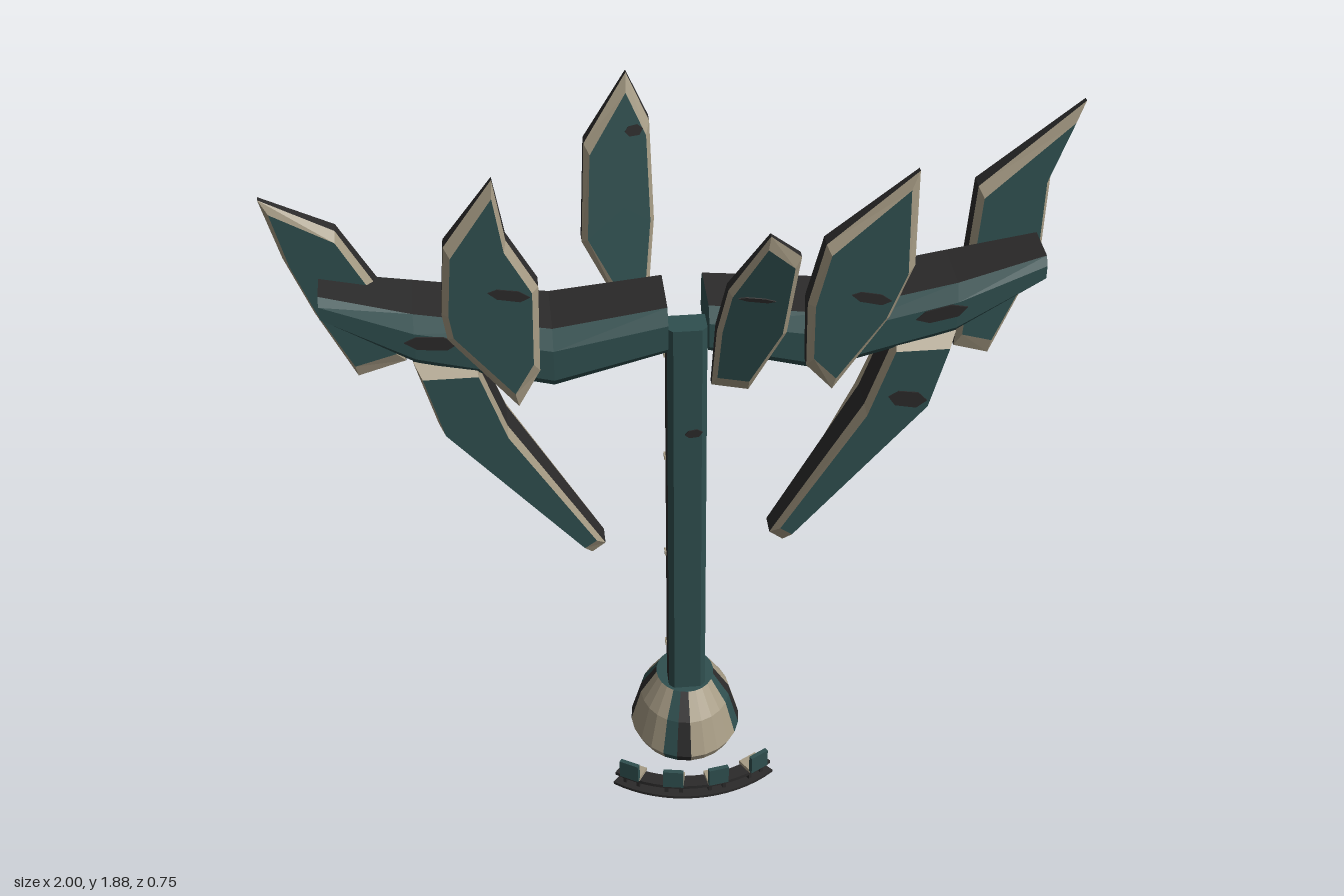
import * as THREE from 'three';

const mat = (name, color) => Object.assign(new THREE.MeshStandardMaterial({ color }), { name });
const teal = mat('dark teal', 0x2f4f4f);
const beige = mat('beige', 0xa69b84);
const dark = mat('charcoal', 0x2b2a2a);
const violet = mat('violet', 0x5a5ac8);
const V = (x, y, z) => new THREE.Vector3(x, y, z);

// Skin a stack of closed rings (counter-clockwise seen from the first ring's end), with flat facets
function loft(name, rings, sideMat, capMats) {
  const buckets = new Map();
  const add = (m, ...pts) => {
    if (!buckets.has(m)) buckets.set(m, []);
    pts.forEach((p) => buckets.get(m).push(p.x, p.y, p.z));
  };
  const n = rings[0].length;
  for (let i = 0; i < rings.length - 1; i++) {
    for (let j = 0; j < n; j++) {
      const k = (j + 1) % n, a = rings[i], b = rings[i + 1], m = sideMat(i, j);
      add(m, a[j], b[j], b[k]);
      add(m, a[j], b[k], a[k]);
    }
  }
  [rings[0], rings[rings.length - 1]].forEach((r, end) => {
    const c = r.reduce((s, p) => s.add(p), V(0, 0, 0)).divideScalar(n);
    for (let j = 0; j < n; j++) {
      const k = (j + 1) % n;
      if (end) add(capMats[1], c, r[k], r[j]);
      else add(capMats[0], c, r[j], r[k]);
    }
  });
  const geo = new THREE.BufferGeometry(), pos = [], mats = [...buckets.keys()];
  mats.forEach((m, i) => {
    const list = buckets.get(m);
    geo.addGroup(pos.length / 3, list.length / 3, i);
    for (const v of list) pos.push(v);
  });
  geo.setAttribute('position', new THREE.Float32BufferAttribute(pos, 3));
  geo.computeVertexNormals();
  const mesh = new THREE.Mesh(geo, mats);
  mesh.name = name;
  return mesh;
}

function box(name, m, w, h, d, x, y, z) {
  const mesh = new THREE.Mesh(new THREE.BoxGeometry(w, h, d), m);
  mesh.name = name;
  mesh.position.set(x, y, z);
  return mesh;
}

// Thin worn patch with ragged pointed ends
function patch(w, h, x, y, z, roll = 0, tilt = 0) {
  const s = new THREE.Shape([[-0.5, -0.1], [-0.25, -0.5], [0.3, -0.4], [0.5, 0.15], [0.2, 0.5], [-0.3, 0.35]]
    .map(([a, b]) => new THREE.Vector2(a * w, b * h)));
  const mesh = new THREE.Mesh(new THREE.ExtrudeGeometry(s, { depth: 0.004, bevelEnabled: false }), dark);
  mesh.name = 'wornPatch';
  mesh.position.set(x, y, z);
  mesh.rotation.set(tilt, 0, roll);
  return mesh;
}

// Armoured fin: teal front, beige bevel, charcoal rim, domed beige back
function fin(name, outline, o) {
  const area = outline.reduce((s, p, i) => {
    const q = outline[(i + 1) % outline.length];
    return s + p[0] * q[1] - q[0] * p[1];
  }, 0);
  const pts = area < 0 ? [...outline].reverse() : outline;
  const ys = pts.map((p) => p[1]), top = Math.max(...ys), bot = Math.min(...ys);
  const cx = pts.reduce((s, p) => s + p[0], 0) / pts.length;
  const cy = pts.reduce((s, p) => s + p[1], 0) / pts.length;
  const mid = (top + bot) / 2, [tTop, tMid, tBot] = o.thick;
  const front = (y) => o.z + o.slope * (y - mid) + tMid * 0.45;
  const thick = (y) => {
    const u = (y - mid) / (top - mid);
    return u > 0 ? tMid + (tTop - tMid) * u * u : tMid + (tBot - tMid) * u * u;
  };
  const ring = (inset, depth) => pts.map(([x, y]) => {
    const px = cx + (x - cx) * inset, py = cy + (y - cy) * inset;
    return V(px, py, front(py) - depth * thick(y));
  });
  const g = new THREE.Group();
  g.name = name;
  const skins = [beige, dark, beige];
  g.add(loft(name + 'Shell', [ring(o.inset ?? 0.86, 0), ring(1, 0.25), ring(1, 0.72), ring(0.55, 1)],
    (i) => skins[i], [teal, beige]));
  for (const [x, y, w, h, r] of o.patches ?? []) {
    g.add(patch(w, h, x, y, front(y) - 0.001, r, Math.atan(o.slope)));
  }
  return g;
}

// Crossbeam half: stations are [x, bottom, top, half depth]
function arm(side) {
  const stations = [[0.88, 1.46, 1.53, 0.07], [0.66, 1.335, 1.48, 0.098], [0.33, 1.25, 1.42, 0.108], [0.05, 1.32, 1.455, 0.095]];
  const rings = stations.map(([x, b, t, d]) => {
    const h = t - b, u = t - 0.3 * h, l = b + 0.2 * h;
    return [[-0.78, t], [0.78, t], [1, u], [1, l], [0.7, b], [-0.7, b], [-1, l], [-1, u]]
      .map(([k, y]) => V(x * side, y, k * d));
  });
  if (side < 0) rings.reverse();
  const g = new THREE.Group();
  g.name = side > 0 ? 'leftArm' : 'rightArm';
  g.add(loft('armBeam', rings, (i, j) => (j === 0 || j === 4 ? dark : teal), [teal, teal]));
  // Light line along the back
  const path = new THREE.CurvePath();
  const p = stations.map(([x, b, t, d]) => V(x * side, b + (t - b) * 0.5, -d));
  for (let i = 1; i < 3; i++) path.add(new THREE.LineCurve3(p[i], p[i + 1]));
  const line = new THREE.Mesh(new THREE.TubeGeometry(path, 24, 0.003, 4), violet);
  line.name = 'lightLine';
  g.add(line, patch(0.13, 0.04, 0.62 * side, 1.41, 0.1, 0.15 * side));
  return g;
}

export function createModel() {
  const model = new THREE.Group();
  model.name = 'finnedTower';

  // Domed base with four stripes
  const N = 24;
  const baseRings = [[0.2, 0.09], [0.13, 0.14], [0.03, 0.172], [0, 0.155]].map(([y, r]) =>
    Array.from({ length: N }, (_, k) => {
      const a = (k / N) * Math.PI * 2;
      return V(Math.cos(a) * r * 0.88, y, -Math.sin(a) * r);
    }));
  model.add(loft('base', baseRings, (i, j) => [dark, teal][(N - 1 - j) % 6] ?? beige, [teal, dark]));

  // Pole with chamfered front and strapped back
  const poleRing = (y) => [[0.05, 0.055], [0.05, -0.003], [-0.05, -0.003], [-0.05, 0.055], [-0.036, 0.07], [0.036, 0.07]]
    .map(([x, z]) => V(x, y, z));
  model.add(loft('pole', [poleRing(1.38), poleRing(0.19)], (i, j) => (j === 0 || j === 2 ? dark : teal), [teal, teal]));
  for (let i = 0; i < 4; i++) model.add(box('poleStrap', beige, 0.108, 0.012, 0.02, 0, 0.31 + i * 0.32, -0.002));
  model.add(patch(0.045, 0.025, 0.015, 1.07, 0.069));

  // Arms and hanging hooks
  const hook = [[0.67, 1.33], [0.62, 1.14], [0.25, 0.71], [0.215, 0.735], [0.45, 1.12], [0.52, 1.33]];
  for (const s of [1, -1]) {
    model.add(arm(s));
    model.add(fin(s > 0 ? 'leftHook' : 'rightHook', hook.map(([x, y]) => [x * s, y]), {
      z: 0.02, slope: 0, thick: [0.17, 0.18, 0.11], inset: 0.9,
      patches: s > 0 ? [[0.55, 1.16, 0.1, 0.05, -0.3]] : [],
    }));
  }

  // Upright fins, outlines run from the tip
  const t = [0.03, 0.09, 0.045];
  model.add(fin('outerRightFin',
    [[-1, 1.75], [-0.83, 1.65], [-0.73, 1.46], [-0.69, 1.27], [-0.81, 1.235], [-0.9, 1.42], [-0.96, 1.58]],
    { z: -0.065, slope: 0, thick: t }));
  model.add(fin('middleRightFin',
    [[-0.455, 1.875], [-0.43, 1.71], [-0.36, 1.58], [-0.365, 1.35], [-0.42, 1.255], [-0.58, 1.45], [-0.59, 1.52], [-0.575, 1.7]],
    { z: 0.125, slope: -0.03, thick: t, patches: [[-0.43, 1.575, 0.1, 0.03, -0.25]] }));
  model.add(fin('innerRightFin',
    [[-0.11, 1.875], [-0.055, 1.75], [-0.05, 1.5], [-0.075, 1.26], [-0.13, 1.25], [-0.235, 1.45], [-0.22, 1.7]],
    { z: -0.3, slope: -0.22, thick: [0.03, 0.08, 0.045], patches: [[-0.095, 1.735, 0.045, 0.03, 0]] }));
  model.add(fin('innerLeftFin',
    [[0.15, 1.835], [0.225, 1.76], [0.21, 1.5], [0.13, 1.305], [0.04, 1.33], [0.045, 1.52], [0.065, 1.66]],
    { z: 0.285, slope: 0.32, thick: [0.03, 0.065, 0.035], patches: [[0.13, 1.635, 0.09, 0.014, -0.25]] }));
  model.add(fin('middleLeftFin',
    [[0.53, 1.84], [0.535, 1.58], [0.48, 1.44], [0.345, 1.25], [0.28, 1.32], [0.28, 1.49], [0.32, 1.65]],
    { z: 0.125, slope: -0.03, thick: t, patches: [[0.43, 1.51, 0.1, 0.03, -0.3]] }));
  model.add(fin('outerLeftFin',
    [[0.995, 1.84], [0.925, 1.66], [0.915, 1.42], [0.795, 1.155], [0.705, 1.18], [0.72, 1.35], [0.745, 1.62]],
    { z: -0.15, slope: -0.09, thick: [0.03, 0.1, 0.06], patches: [[0.85, 1.45, 0.07, 0.03, -0.3]] }));

  // Curved bench with four seats facing the base
  const R = 0.32, bench = new THREE.Group();
  bench.name = 'bench';
  bench.position.z = -0.05;
  const strip = (name, m, r0, r1, h, y) => {
    const s = new THREE.Shape();
    const a = Math.PI / 2 - 0.68, b = Math.PI / 2 + 0.68;
    s.absarc(0, 0, r1, a, b, false);
    s.absarc(0, 0, r0, b, a, true);
    const mesh = new THREE.Mesh(new THREE.ExtrudeGeometry(s, { depth: h, bevelEnabled: false, curveSegments: 8 }), m);
    mesh.name = name;
    mesh.rotation.x = Math.PI / 2;
    mesh.position.y = y + h;
    return mesh;
  };
  bench.add(strip('benchFloor', dark, R - 0.03, R + 0.03, 0.008, 0));
  bench.add(strip('benchBeam', dark, R - 0.02, R + 0.02, 0.01, 0.027));
  for (const a of [-0.54, -0.18, 0.18, 0.54]) {
    const seat = new THREE.Group();
    seat.name = 'seat';
    seat.rotation.y = a;
    seat.add(box('seatPad', beige, 0.055, 0.01, 0.045, 0, 0.042, R - 0.003));
    seat.add(box('seatBack', teal, 0.055, 0.055, 0.012, 0, 0.07, R + 0.024));
    for (const x of [-0.02, 0.02]) seat.add(box('seatLeg', dark, 0.01, 0.03, 0.03, x, 0.02, R));
    bench.add(seat);
  }
  model.add(bench);
  return model;
}
